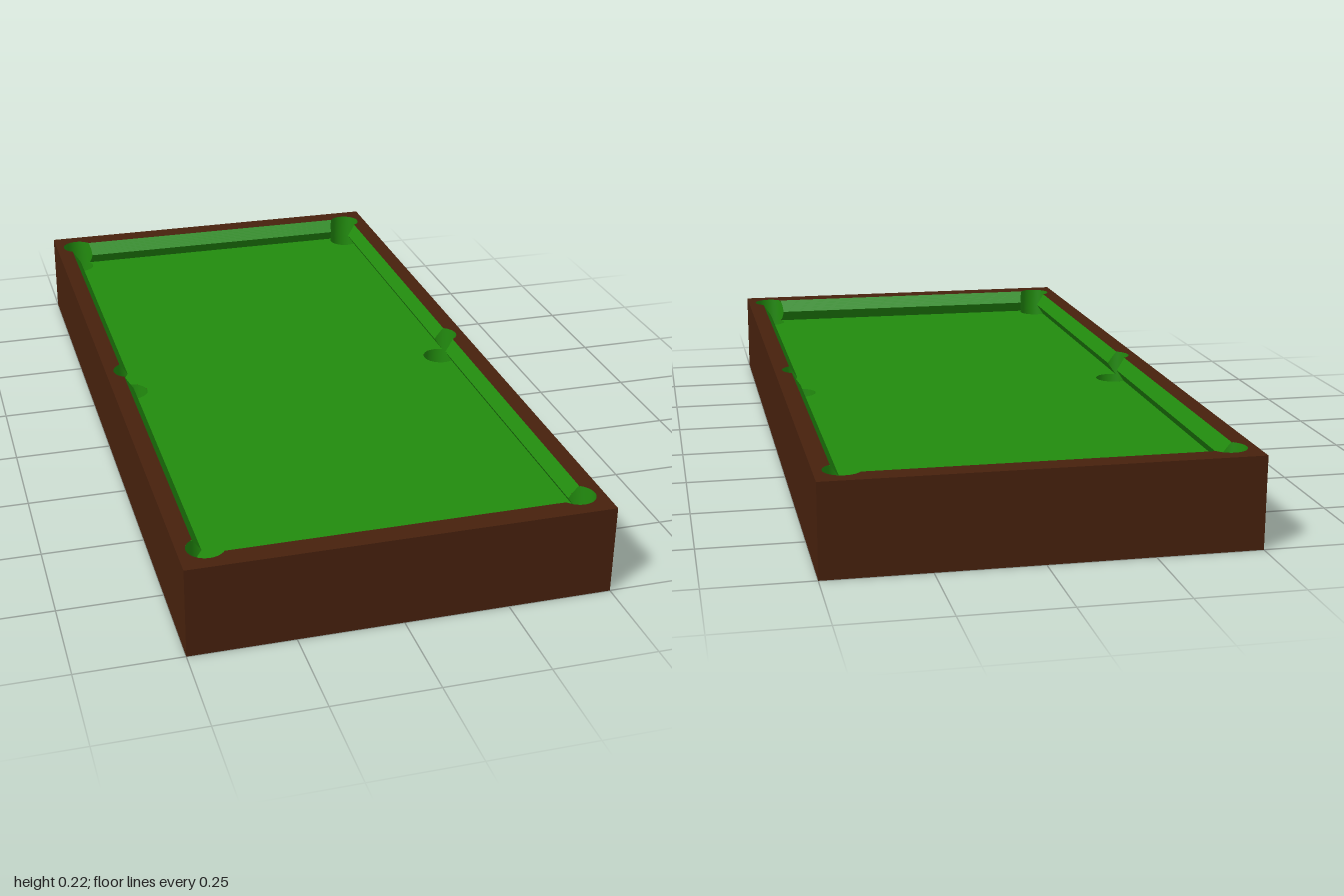
import * as THREE from 'three';

const W = 0.5, L = 1, H = 0.22;          // outer half width, half length, height
const NX = 0.435, NZ = 0.921;            // cushion nose lines, also pocket centres
const DX = 0.022, DZ = 0.024;            // depth of cushion behind the nose
const BED = 0.155, NOSE = 0.187, R = 0.044;

// Smooth surface through rows of [x, y, z] points
function sheet(rows) {
  const n = rows[0].length, index = [];
  for (let i = 0; i < rows.length - 1; i++) {
    for (let j = 0; j < n - 1; j++) {
      const a = i * n + j, b = a + n;
      index.push(a, b, a + 1, b, b + 1, a + 1);
    }
  }
  const g = new THREE.BufferGeometry();
  g.setAttribute('position', new THREE.Float32BufferAttribute(rows.flat(2), 3));
  g.setIndex(index);
  g.computeVertexNormals();
  return g;
}

// Inner outline of the rails; pockets bulge outwards (rim) or inwards (bed)
function outline(path, inward) {
  const ax = Math.acos(DX / R), az = Math.acos(DZ / R), P = Math.PI;
  const half = [
    [NX, 0, -ax, ax],
    [NX, NZ, -ax, P / 2 + az],
    [-NX, NZ, P / 2 - az, P + ax],
  ];
  for (const s of [1, -1]) {
    for (const [x, y, a, b] of half) {
      const turn = s > 0 ? 0 : P;
      path.absarc(s * x, s * y, R, a + turn, b + turn, inward);
    }
  }
  path.closePath();
  return path;
}

function rectangle() {
  return new THREE.Shape([[-W, -L], [W, -L], [W, L], [-W, L]].map(p => new THREE.Vector2(...p)));
}

export function createModel() {
  const group = new THREE.Group();
  const wood = new THREE.MeshStandardMaterial({ color: 0x47210d, side: THREE.DoubleSide });
  wood.name = 'dark brown wood';
  const cloth = new THREE.MeshStandardMaterial({ color: 0x228c0e, side: THREE.DoubleSide });
  cloth.name = 'green cloth';
  const add = (name, geometry, material) => {
    const mesh = new THREE.Mesh(geometry, material);
    mesh.name = name;
    group.add(mesh);
    return mesh;
  };

  // Outer sides: a box without its top and bottom
  const box = new THREE.BoxGeometry(2 * W, H, 2 * L).translate(0, H / 2, 0);
  box.setIndex([...box.index.array].filter((_, i) => i < 12 || i >= 24));
  box.clearGroups();
  add('outerSides', box, wood);

  // Rim on top, cut by the pockets
  const rim = rectangle();
  rim.holes.push(outline(new THREE.Path(), false));
  add('topRim', new THREE.ShapeGeometry(rim, 32).rotateX(-Math.PI / 2).translate(0, H, 0), wood);

  // Underside with six round openings
  const base = rectangle();
  const pockets = [];
  for (const sx of [1, -1]) for (const sz of [-1, 0, 1]) pockets.push([sx, sz]);
  for (const [sx, sz] of pockets) {
    base.holes.push(new THREE.Path().absarc(sx * NX, sz * NZ, R, 0, Math.PI * 2, true));
  }
  add('underside', new THREE.ShapeGeometry(base, 32).rotateX(Math.PI / 2), wood);

  // Playing bed
  const bed = outline(new THREE.Shape(), true);
  add('bed', new THREE.ShapeGeometry(bed, 32).rotateX(-Math.PI / 2).translate(0, BED, 0), cloth);

  // Pocket walls: a full tube below the bed, and the cut through the rail above it
  for (const [sx, sz] of pockets) {
    const tube = new THREE.CylinderGeometry(R, R, BED, 48, 1, true);
    add('pocketTube', tube.translate(sx * NX, BED / 2, sz * NZ), cloth);
    const low = [], high = [], N = 48;
    const end = sz ? Math.PI : Math.PI / 2;
    for (let i = 0; i <= N; i++) {
      const a = -Math.PI / 2 + (end + Math.PI / 2) * i / N;
      const dx = R * Math.cos(a), dz = R * Math.sin(a);
      const depth = Math.max(dx / DX, sz ? dz / DZ : 0);
      const t = Math.min(1, Math.max(0, depth));
      const x = sx * (NX + dx), z = sz * NZ + (sz || 1) * dz;
      low.push([x, NOSE + (BED - NOSE) * t, z]);
      high.push([x, NOSE + (H - NOSE) * t, z]);
    }
    add('pocketRailCut', sheet([low, high]), cloth);
  }

  // Cushion faces, sloping from the nose up to the rim or undercut down to the bed
  const steps = 8;
  const cushion = (depth, from, to, place) => {
    for (const [name, edge] of [['cushionTop', H], ['cushionUndercut', BED]]) {
      const rows = [];
      for (let i = 0; i <= steps; i++) {
        const t = i / steps, d = depth * t;
        const gap = Math.sqrt(R * R - d * d);
        const y = NOSE + (edge - NOSE) * t;
        rows.push([place(d, y, from + gap), place(d, y, to - gap)]);
      }
      add(name, sheet(rows), cloth);
    }
  };
  for (const s of [1, -1]) {
    for (const e of [1, -1]) {
      cushion(DX, 0, NZ, (d, y, along) => [s * (NX + d), y, e * along]);
    }
    cushion(DZ, -NX, NX, (d, y, along) => [along, y, s * (NZ + d)]);
  }

  return group;
}
